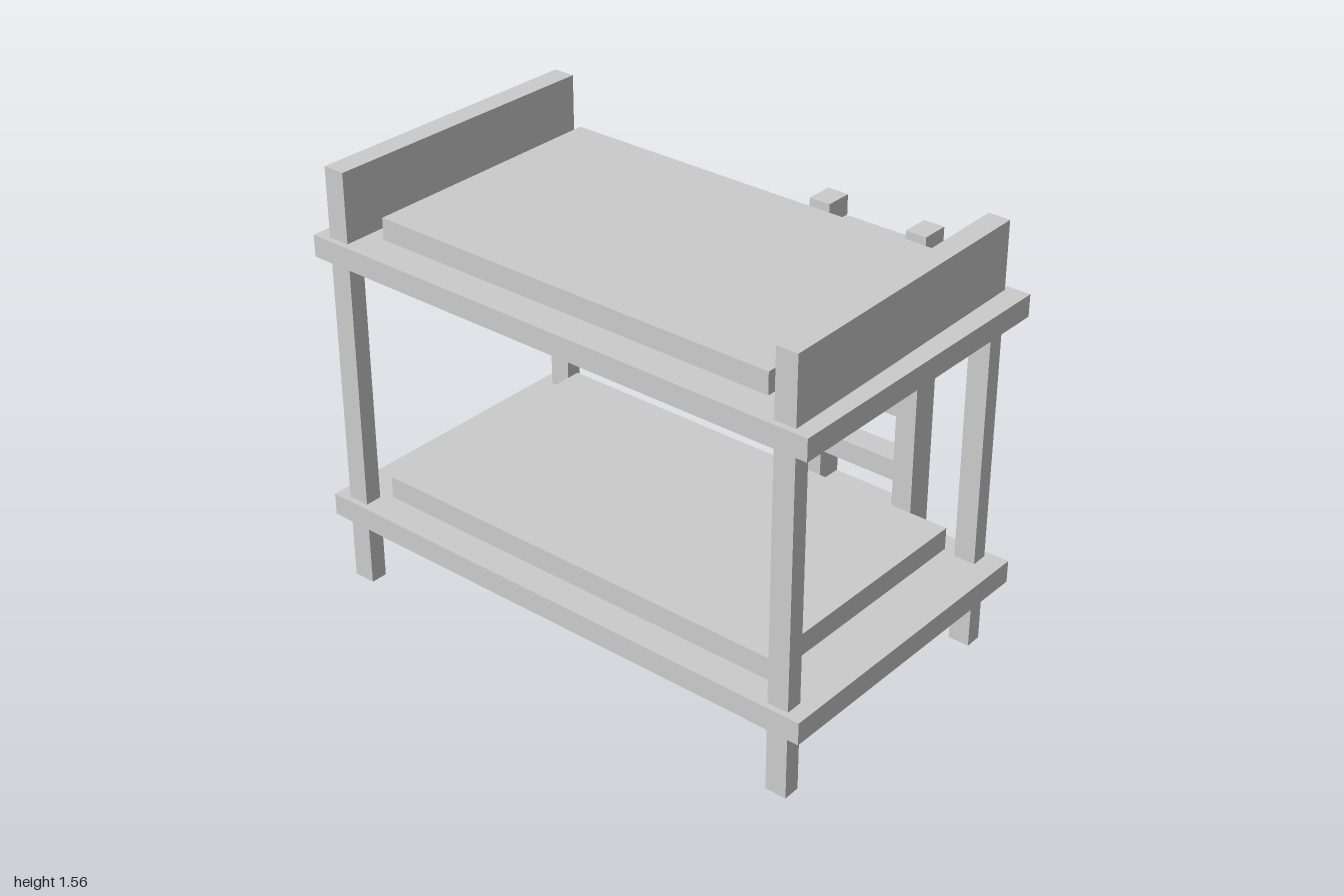
import * as THREE from 'three';

const material = new THREE.MeshStandardMaterial({ color: 0xcccccc, flatShading: true });

// Box given by its minimum and maximum along each axis
function addBox(parent, name, [x0, x1], [y0, y1], [z0, z1]) {
  const mesh = new THREE.Mesh(new THREE.BoxGeometry(x1 - x0, y1 - y0, z1 - z0), material);
  mesh.position.set((x0 + x1) / 2, (y0 + y1) / 2, (z0 + z1) / 2);
  mesh.name = name;
  parent.add(mesh);
}

// End frame: two legs joined by a tall board, leaning slightly along z
function addEndFrame(parent, name, x0, width, bottom, top, skewX, skewY) {
  const back = -0.49, front = 0.595, leg = 0.062, boardBottom = 1.28;
  const outline = [
    [back, bottom], [back + leg, bottom], [back + leg, boardBottom],
    [front - leg, boardBottom], [front - leg, bottom], [front, bottom],
    [front, top], [back, top],
  ].map(([z, y]) => new THREE.Vector2(-z, y));
  const geometry = new THREE.ExtrudeGeometry(new THREE.Shape(outline), { depth: width, bevelEnabled: false });
  geometry.rotateY(Math.PI / 2).translate(x0, 0, 0);
  const p = geometry.attributes.position;
  for (let i = 0; i < p.count; i++) {
    const t = (p.getZ(i) - back) / (front - back);
    p.setX(i, p.getX(i) + skewX * t);
    p.setY(i, p.getY(i) + skewY * t);
  }
  geometry.computeVertexNormals();
  const mesh = new THREE.Mesh(geometry, material);
  mesh.name = name;
  parent.add(mesh);
}

export function createModel() {
  const bed = new THREE.Group();
  bed.name = 'bunkBed';

  // Bunk platforms and mattresses
  addBox(bed, 'lowerPlatform', [-1, 1], [0.246, 0.327], [-0.515, 0.617]);
  addBox(bed, 'upperPlatform', [-1, 1], [1.235, 1.313], [-0.515, 0.617]);
  addBox(bed, 'lowerMattress', [-0.82, 0.807], [0.337, 0.418], [-0.43, 0.515]);
  addBox(bed, 'upperMattress', [-0.79, 0.775], [1.32, 1.398], [-0.44, 0.507]);

  // Legs with head and foot boards
  addEndFrame(bed, 'rightEndFrame', -0.946, 0.081, 0, 1.553, 0, 0.01);
  addEndFrame(bed, 'leftEndFrame', 0.845, 0.078, 0, 1.552, 0.02, 0);

  // Ladder on the back
  const ladder = new THREE.Group();
  ladder.name = 'ladder';
  addBox(ladder, 'ladderRail', [0.146, 0.226], [0.17, 1.383], [-0.617, -0.516]);
  addBox(ladder, 'ladderRail', [0.528, 0.606], [0.17, 1.383], [-0.617, -0.516]);
  for (const y of [0.25, 0.45, 0.698, 0.977, 1.233]) {
    addBox(ladder, 'ladderRung', [0.22, 0.534], [y, y + 0.077], [-0.614, -0.518]);
  }
  bed.add(ladder);
  return bed;
}
